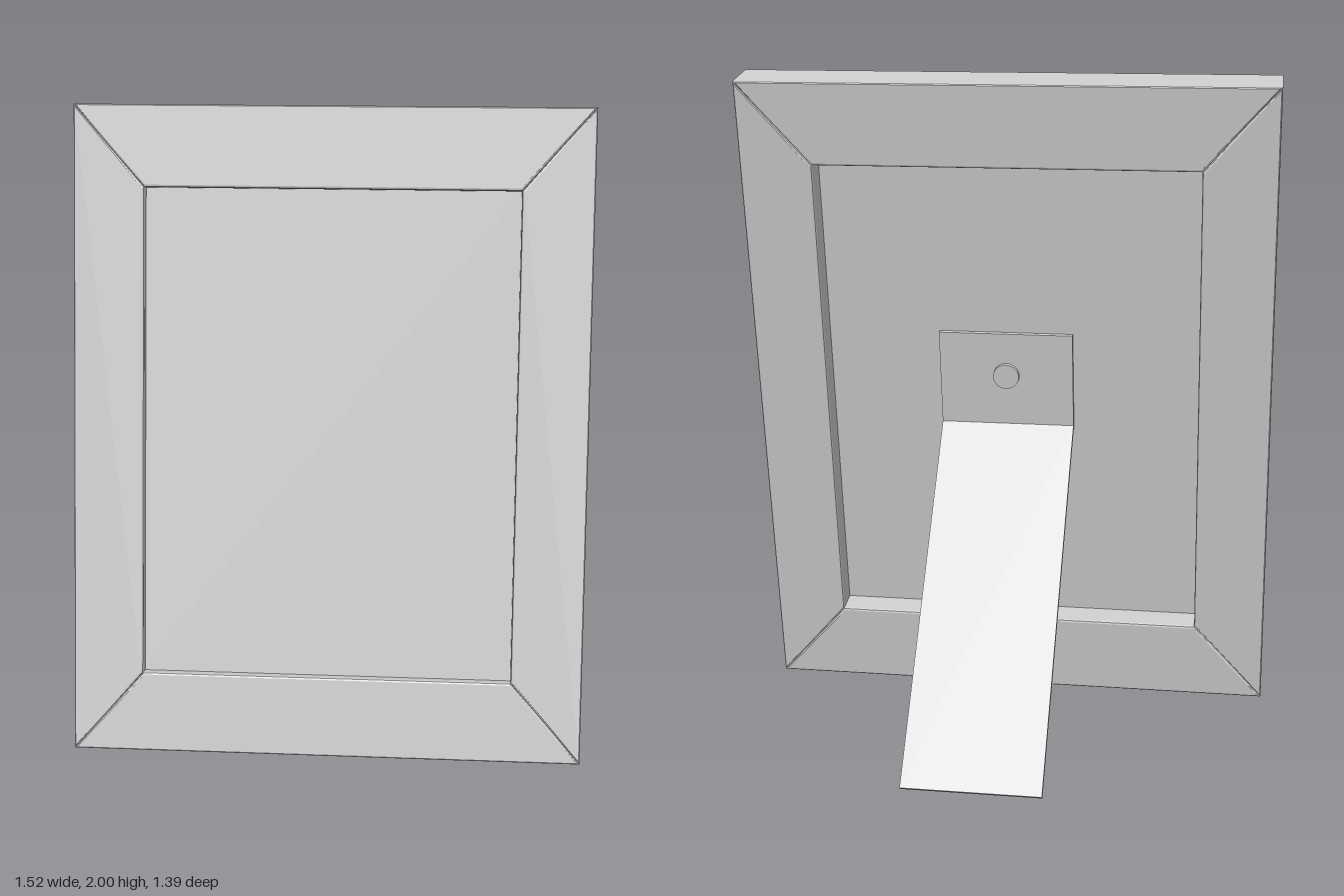
import * as THREE from 'three';

const mat = new THREE.MeshStandardMaterial({ color: 0xcccccc });

const HW = 0.79, H = 2.004, DEPTH = 0.151;   // outer half width, height, thickness
const IW = 0.572, LOW = 0.25, HIGH = 1.755;  // opening half width, bottom and top
const BEVEL = 0.007;

function add(parent, name, geometry) {
  const mesh = new THREE.Mesh(geometry, mat);
  mesh.name = name;
  parent.add(mesh);
  return mesh;
}

function polygon(points) {
  return new THREE.Shape(points.map(([x, y]) => new THREE.Vector2(x, y)));
}

// One mitred bar with softened edges
function railGeometry(points) {
  const geometry = new THREE.ExtrudeGeometry(polygon(points), {
    depth: DEPTH - 2 * BEVEL,
    bevelEnabled: true,
    bevelThickness: BEVEL,
    bevelSize: BEVEL,
    bevelOffset: -BEVEL,
    bevelSegments: 2,
  });
  return geometry.translate(0, 0, BEVEL);
}

export function createModel() {
  const model = new THREE.Group();
  model.name = 'pictureFrame';

  // Everything is built upright, then turned sideways and leaned back
  const body = new THREE.Group();
  body.name = 'leaningFrame';
  body.rotation.set(-Math.PI / 18, -Math.PI * 40 / 180, 0, 'YXZ');
  body.position.set(-0.062, 0, 0.0735);
  model.add(body);

  // Four mitred rails around the opening
  const outer = [[-HW, 0], [HW, 0], [HW, H], [-HW, H]];
  const inner = [[-IW, LOW], [IW, LOW], [IW, HIGH], [-IW, HIGH]];
  ['bottomRail', 'leftRail', 'topRail', 'rightRail'].forEach((name, i) => {
    const j = (i + 1) % 4;
    add(body, name, railGeometry([outer[i], outer[j], inner[j], inner[i]]));
  });

  // Recessed picture panel, tucked slightly into the rails
  const panel = add(body, 'picturePanel',
    new THREE.BoxGeometry(2 * IW + 0.02, HIGH - LOW + 0.02, 0.033));
  panel.position.set(0, (HIGH + LOW) / 2, 0.099);

  // Bent strip: mounting plate on the panel and the leg swung out behind
  const width = 0.412, centre = 0.021;
  const strip = new THREE.ExtrudeGeometry(polygon([
    [0.068, 1.212], [0.068, 0.912], [-0.807, 0.157],
    [-0.797, 0.146], [0.083, 0.905], [0.083, 1.212],
  ]), { depth: width, bevelEnabled: false });
  strip.translate(0, 0, -width / 2).rotateY(-Math.PI / 2);
  add(body, 'easelLeg', strip).position.x = centre;

  // Round rivet holding the plate
  const rivet = add(body, 'rivet', new THREE.CylinderGeometry(0.04, 0.04, 0.03, 32));
  rivet.rotation.x = Math.PI / 2;
  rivet.position.set(centre, 1.075, 0.07);

  return model;
}
